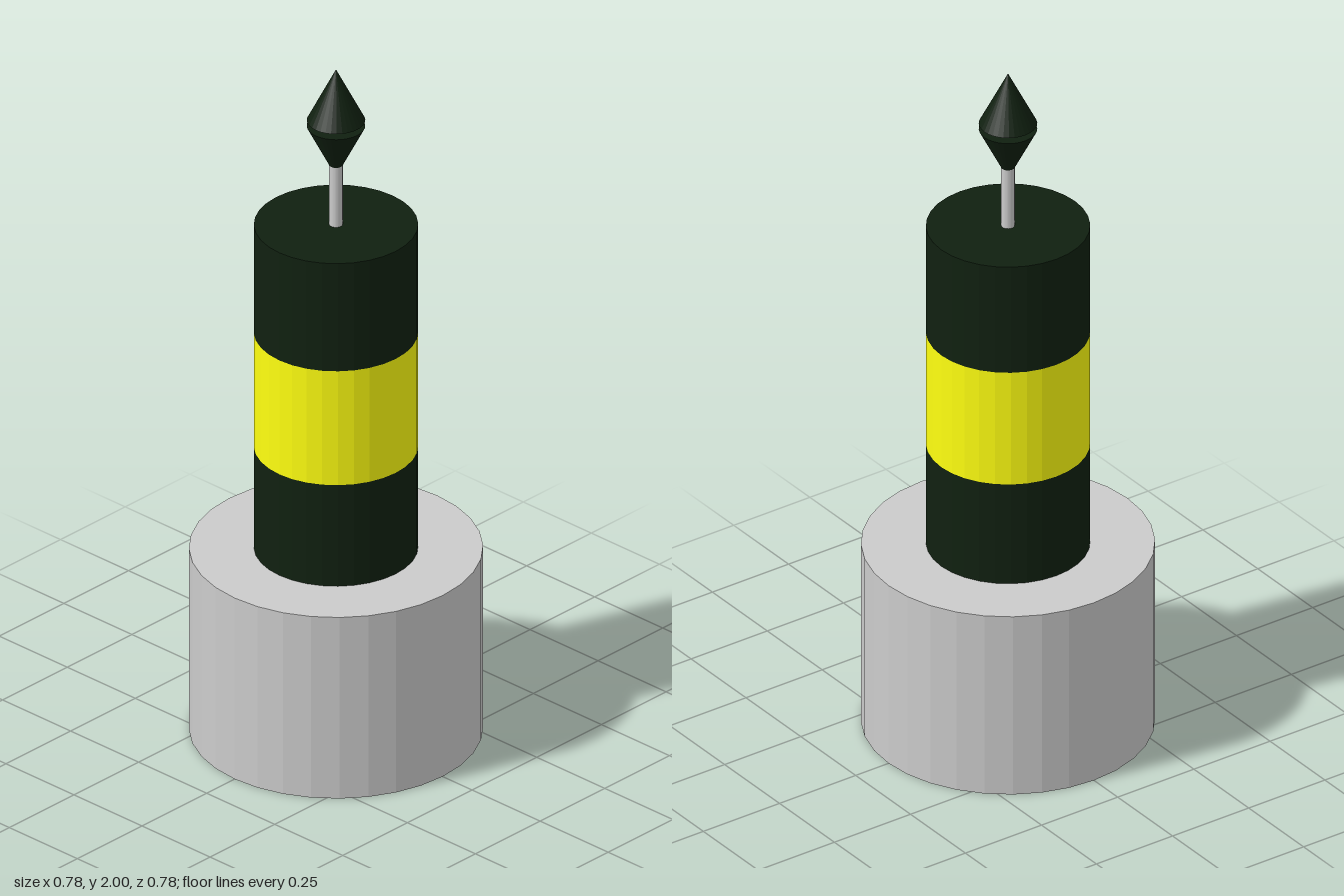
import * as THREE from 'three';

const SIDES = 32;

export function createModel() {
  const model = new THREE.Group();
  model.name = 'navigationBeacon';

  const material = (color) => new THREE.MeshStandardMaterial({ color, flatShading: true });
  const grey = material(0xcccccc);
  const dark = material(0x102010);
  const yellow = material(0xffff10);

  // Upright round part between two heights
  function round(name, bottom, top, rBottom, rTop, mat) {
    const geometry = new THREE.CylinderGeometry(rTop, rBottom, top - bottom, SIDES);
    const mesh = new THREE.Mesh(geometry, mat);
    mesh.name = name;
    mesh.position.y = (bottom + top) / 2;
    model.add(mesh);
  }

  // Foundation
  round('base', 0, 0.55, 0.392, 0.392, grey);

  // Banded tower
  round('lowerBand', 0.55, 0.857, 0.219, 0.219, dark);
  round('middleBand', 0.857, 1.203, 0.219, 0.219, yellow);
  round('upperBand', 1.203, 1.53, 0.219, 0.219, dark);

  // Mast and the two topmark cones, set base to base with a small gap
  round('mast', 1.53, 1.86, 0.018, 0.018, grey);
  round('lowerCone', 1.675, 1.829, 0, 0.078, dark);
  round('upperCone', 1.846, 2, 0.078, 0, dark);

  return model;
}
